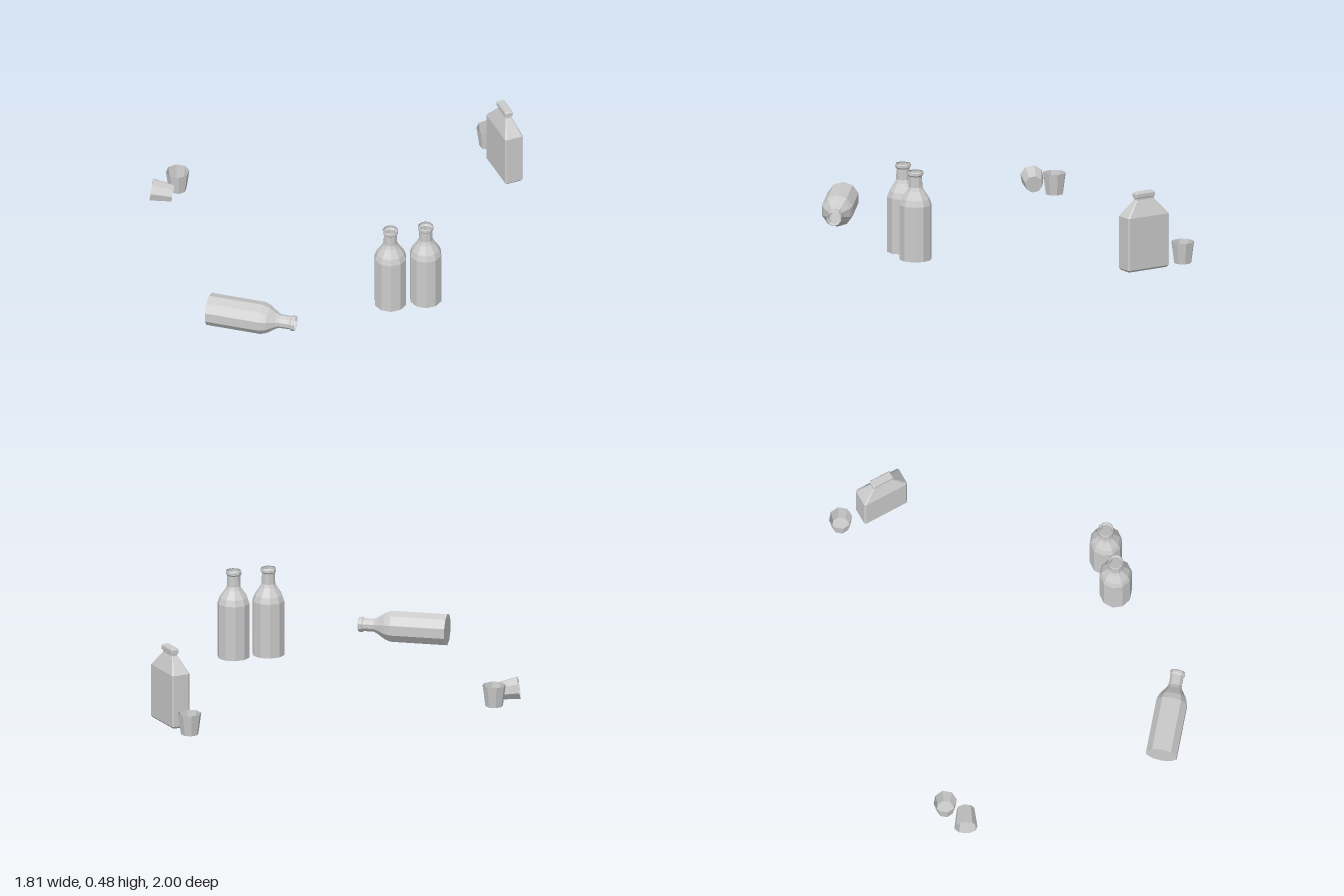
import * as THREE from 'three';

const glass = new THREE.MeshStandardMaterial({ color: 0xcccccc, flatShading: true, side: THREE.DoubleSide });

// Thin-walled faceted vessel turned from a radius/height profile
function vessel(profile, sides) {
  const points = profile.map(([r, y]) => new THREE.Vector2(r, y));
  return new THREE.LatheGeometry(points, sides, Math.PI / sides);
}

// Stack of chamfered rectangles: [height, half length, half depth, chamfer]
function flaskGeometry(levels) {
  const position = [], index = [], n = 8;
  for (const [y, a, b, c] of levels) {
    const ring = [[a, b - c], [a - c, b], [c - a, b], [-a, b - c], [-a, c - b], [c - a, -b], [a - c, -b], [a, c - b]];
    for (const [x, z] of ring) position.push(x, y, z);
  }
  const last = (levels.length - 1) * n;
  for (let k = 0; k < last; k += n) {
    for (let i = 0; i < n; i++) {
      const j = (i + 1) % n;
      index.push(k + i, k + n + i, k + j, k + j, k + n + i, k + n + j);
    }
  }
  // Bottom and top caps
  for (let i = 1; i < n - 1; i++) {
    index.push(0, i, i + 1, last, last + i + 1, last + i);
  }
  const geometry = new THREE.BufferGeometry();
  geometry.setAttribute('position', new THREE.Float32BufferAttribute(position, 3));
  geometry.setIndex(index);
  geometry.computeVertexNormals();
  return geometry;
}

export function createModel() {
  const group = new THREE.Group();
  function add(name, geometry, x, y, z) {
    const mesh = new THREE.Mesh(geometry, glass);
    mesh.name = name;
    mesh.position.set(x, y, z);
    group.add(mesh);
    return mesh;
  }

  // Bottles: two standing, one lying on its side
  const bottle = vessel([
    [0, 0], [0.084, 0], [0.084, 0.29], [0.073, 0.322], [0.044, 0.365], [0.036, 0.383],
    [0.035, 0.44], [0.041, 0.447], [0.041, 0.459], [0.038, 0.465],
  ], 10);
  add('standingBottleRight', bottle, 0.538, 0.02, 0.518);
  add('standingBottleLeft', bottle, 0.704, 0.02, 0.436);
  add('lyingBottle', bottle, -0.32, 0.086, 0.917).rotation.z = -Math.PI / 2;

  // Cups: two upright, one tipped over
  const cup = vessel([[0, 0], [0.046, 0], [0.061, 0.112]], 8);
  add('uprightCupRight', cup, -0.79, 0.02, -0.13);
  add('uprightCupBack', cup, 0.642, 0.02, -0.943);
  const tipped = add('tippedCup', cup, -0.786, 0.067, -0.024);
  tipped.quaternion.setFromUnitVectors(
    new THREE.Vector3(0, 1, 0), new THREE.Vector3(-0.12, 0.02, 0.024).normalize());

  // Flat flask with sloped shoulders and a closed, lipped neck
  const flask = flaskGeometry([
    [0, 0.118, 0.042, 0.006], [0.01, 0.126, 0.05, 0.008], [0.285, 0.126, 0.05, 0.008],
    [0.368, 0.052, 0.016, 0.004], [0.378, 0.052, 0.016, 0.004], [0.382, 0.06, 0.021, 0.005],
    [0.401, 0.06, 0.021, 0.005], [0.408, 0.053, 0.016, 0.004],
  ]);
  add('flask', flask, 0.785, 0.02, -0.755).rotation.y = -0.88;

  return group;
}
